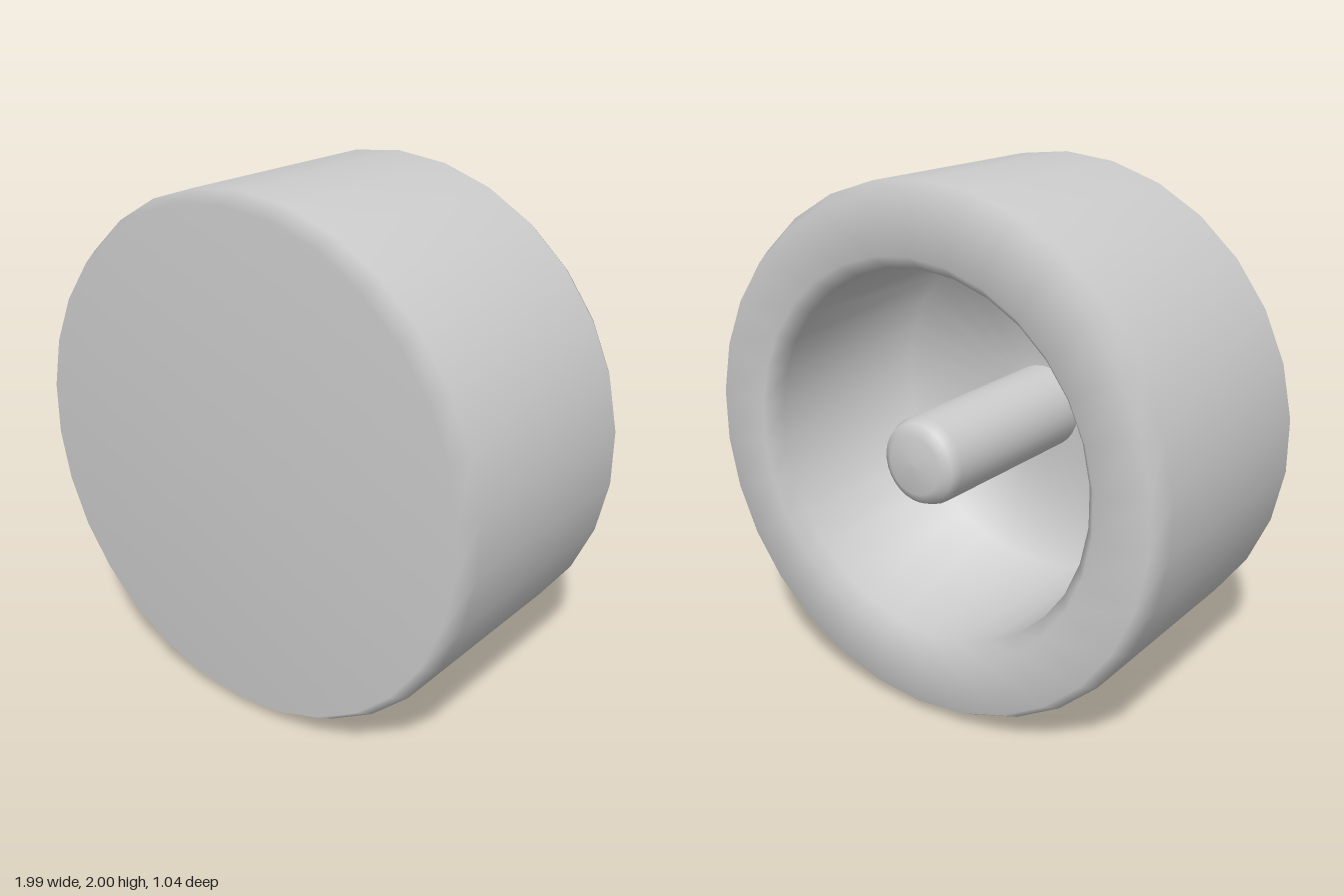
import * as THREE from 'three';

const SIDES = 30;

// Turn a [radius, z] profile around the z axis, listed from back to front on the outside
function turned(name, profile, material) {
  const points = profile.map(([r, z]) => new THREE.Vector2(r, z));
  const geometry = new THREE.LatheGeometry(points, SIDES);
  geometry.rotateX(Math.PI / 2);
  const mesh = new THREE.Mesh(geometry, material);
  mesh.name = name;
  mesh.position.y = 1;
  return mesh;
}

export function createModel() {
  const group = new THREE.Group();
  group.name = 'knob';
  const material = new THREE.MeshStandardMaterial({ color: 0xcccccc });

  // Hollow cap: inner floor, inner wall, bevelled rim, outer wall, front face
  group.add(turned('cap', [
    [0.17, 0.3], [0.7, 0.3],
    [0.7, -0.46], [0.75, -0.52],
    [0.96, -0.52], [1, -0.45],
    [1, 0.45], [0.96, 0.52],
    [0, 0.52],
  ], material));

  // Central shaft with a rounded tip, rising from the floor to the rim plane
  group.add(turned('shaft', [
    [0, -0.52], [0.11, -0.515], [0.15, -0.49], [0.165, -0.45], [0.17, 0.3],
  ], material));

  return group;
}
